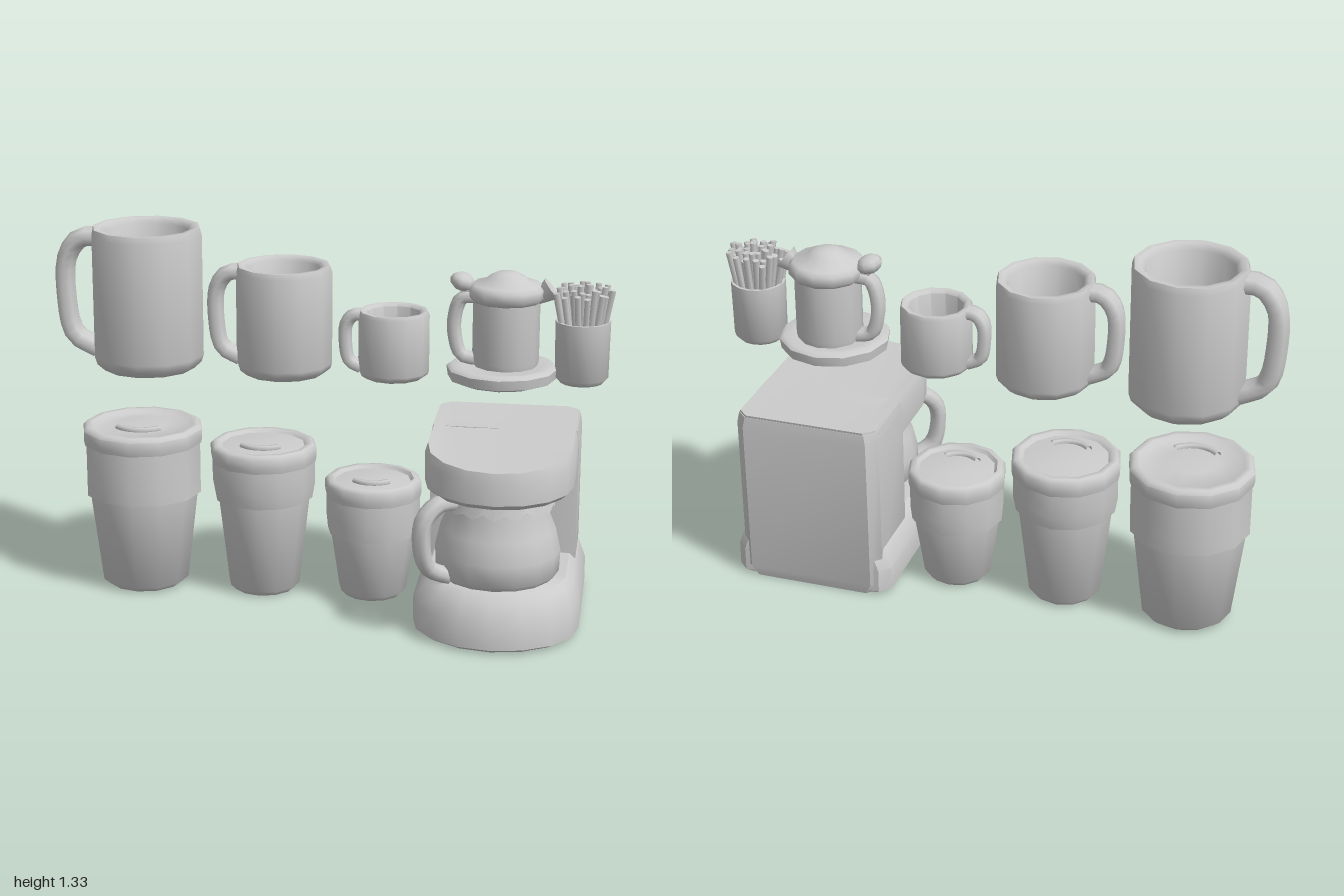
import * as THREE from 'three';
import { toCreasedNormals } from 'three/addons/utils/BufferGeometryUtils.js';

const material = new THREE.MeshStandardMaterial({ color: 0xcccccc, side: THREE.DoubleSide });

function add(parent, name, geometry, x = 0, y = 0, z = 0) {
  const mesh = new THREE.Mesh(geometry, material);
  mesh.name = name;
  mesh.position.set(x, y, z);
  parent.add(mesh);
  return mesh;
}

function group(parent, name, x = 0, y = 0, z = 0) {
  const g = new THREE.Group();
  g.name = name;
  g.position.set(x, y, z);
  parent.add(g);
  return g;
}

// Turned part from [radius, height] pairs, bottom to top
function turned(profile, sides = 12, crease = 0.9) {
  const points = profile.map(([r, y]) => new THREE.Vector2(r, y));
  return toCreasedNormals(new THREE.LatheGeometry(points, sides), crease);
}

// Curved grip in the xy plane, widened along z
function grip(points, radius, widen) {
  const curve = new THREE.CatmullRomCurve3(points.map(([x, y]) => new THREE.Vector3(x, y, 0)));
  return new THREE.TubeGeometry(curve, 14, radius, 8).scale(1, 1, widen);
}

// Stacked plan outlines: straight back with cut corners, rounded front
function loft(layers, slope = 0) {
  const pos = [], index = [];
  let n = 0;
  for (const { y, w, back, side, front } of layers) {
    const ring = [[-w + 0.035, back], [-w, back + 0.035]];
    for (let i = 0; i <= 8; i++) {
      const a = Math.PI * i / 8;
      ring.push([-w * Math.cos(a), side + (front - side) * Math.sin(a)]);
    }
    ring.push([w, back + 0.035], [w - 0.035, back]);
    n = ring.length;
    for (const [x, z] of ring) pos.push(x, y - slope * Math.max(0, z) * (y > 0.6 ? 1 : 0), z);
  }
  for (let j = 0; j < layers.length - 1; j++) {
    for (let i = 0; i < n; i++) {
      const k = (i + 1) % n, a = j * n + i, b = j * n + k;
      index.push(a, b, b + n, a, b + n, a + n);
    }
  }
  const top = (layers.length - 1) * n;
  for (let i = 1; i < n - 1; i++) index.push(0, i + 1, i, top, top + i, top + i + 1);
  const g = new THREE.BufferGeometry();
  g.setAttribute('position', new THREE.Float32BufferAttribute(pos, 3));
  g.setIndex(index);
  return toCreasedNormals(g, 0.75);
}

// Open mug with its handle on the model's right
function mug(parent, name, x, r, h, reach, thick) {
  const g = group(parent, name, x, 0.83, -0.13);
  const inner = r * 0.76;
  add(g, 'mugBody', turned([
    [0, 0], [r * 0.82, 0], [r * 0.96, h * 0.05], [r, h * 0.1], [r, h * 0.95], [r * 0.96, h],
    [r * 0.85, h], [inner, h * 0.96], [inner, h * 0.12], [0, h * 0.09]]));
  const at = (u, v) => [-r * 0.9 - (reach - thick - r * 0.9) * u, h * v];
  add(g, 'mugHandle', grip([at(0, 0.92), at(0.5, 0.91), at(0.93, 0.78), at(1, 0.5),
    at(0.75, 0.22), at(0, 0.12)], thick, 1.5));
}

// Tapered takeaway cup: sleeve starts at `step`, lid at `lid`
function paperCup(parent, name, x, bottom, waist, sleeve, rim, step, lid) {
  const g = group(parent, name, x, 0, -0.14);
  add(g, 'cupBody', turned([
    [0, 0.01], [bottom * 0.85, 0.01], [bottom, 0.03], [waist, step], [waist * 1.06, step],
    [sleeve, step + 0.055], [sleeve, lid - 0.005], [0, lid - 0.005]]));
  add(g, 'cupLid', turned([
    [sleeve * 0.95, lid - 0.012], [rim * 0.98, lid - 0.01], [rim, lid + 0.01], [rim, lid + 0.042],
    [rim * 0.94, lid + 0.055], [rim * 0.84, lid + 0.056], [rim * 0.78, lid + 0.044],
    [rim * 0.4, lid + 0.053], [0, lid + 0.056]]));
  // Raised sip ridge on the lid
  const ridge = new THREE.TorusGeometry(rim * 0.45, 0.012, 6, 10, Math.PI * 0.55);
  ridge.rotateZ(Math.PI * 0.225).rotateX(Math.PI / 2);
  add(g, 'sipRidge', ridge, 0, lid + 0.055, 0);
}

function coffeeMaker(parent) {
  const g = group(parent, 'coffeeMaker', 0.615, 0, 0);
  const layer = (y, w, back, side, front) => ({ y, w, back, side, front });
  add(g, 'machineBase', loft([
    layer(0.012, 0.27, -0.37, 0.13, 0.38), layer(0.025, 0.29, -0.385, 0.14, 0.4),
    layer(0.11, 0.29, -0.385, 0.14, 0.4), layer(0.18, 0.265, -0.38, 0.12, 0.355),
    layer(0.205, 0.24, -0.36, 0.12, 0.32)]));
  add(g, 'machineColumn', loft([
    layer(0.01, 0.24, -0.385, -0.12, -0.11), layer(0.05, 0.262, -0.395, -0.12, -0.11),
    layer(0.62, 0.262, -0.4, -0.12, -0.11), layer(0.66, 0.255, -0.395, -0.12, -0.11)]));
  add(g, 'machineHead', loft([
    layer(0.508, 0.235, -0.3, 0.1, 0.335), layer(0.528, 0.258, -0.32, 0.1, 0.36),
    layer(0.635, 0.26, -0.39, 0.1, 0.36), layer(0.668, 0.25, -0.395, 0.09, 0.35)], 0.08));

  // Glass pot with a zigzag collar, handle turned towards the front
  const pot = group(g, 'carafe', 0, 0, 0.115);
  add(pot, 'carafeBody', turned([
    [0, 0.2], [0.19, 0.2], [0.215, 0.225], [0.218, 0.3], [0.2, 0.38],
    [0.17, 0.455], [0.17, 0.5], [0, 0.5]], 16));
  const collar = new THREE.CylinderGeometry(0.185, 0.195, 0.045, 32, 1, true);
  const p = collar.attributes.position;
  for (let i = 0; i < p.count; i++) {
    if (p.getY(i) < 0) p.setY(i, i % 2 ? -0.028 : 0.002 - 0.008 * (i % 3));
  }
  collar.computeVertexNormals();
  add(pot, 'carafeCollar', collar, 0, 0.483, 0);
  add(pot, 'carafeRim', new THREE.CylinderGeometry(0.19, 0.187, 0.012, 16), 0, 0.506, 0);
  const handle = add(pot, 'carafeHandle', grip([[-0.18, 0.49], [-0.24, 0.49], [-0.295, 0.44],
    [-0.305, 0.36], [-0.28, 0.27], [-0.2, 0.225]], 0.03, 1.3));
  handle.rotation.y = 0.62;
}

function pitcher(parent) {
  const g = group(parent, 'pitcherOnSaucer', 0.61, 0, -0.13);
  add(g, 'saucer', turned([
    [0, 0.835], [0.15, 0.835], [0.19, 0.85], [0.195, 0.885], [0.18, 0.897], [0.14, 0.89], [0, 0.89]]),
  -0.01, 0, 0.02);
  add(g, 'pitcherBody', turned([[0, 0.87], [0.11, 0.88], [0.117, 0.91], [0.117, 1.14], [0, 1.14]]));
  add(g, 'pitcherLid', turned([
    [0, 1.12], [0.12, 1.12], [0.135, 1.135], [0.135, 1.165], [0.12, 1.18], [0.085, 1.185],
    [0.065, 1.205], [0.035, 1.22], [0, 1.224]]));
  add(g, 'pitcherHandle', grip([[-0.1, 1.13], [-0.155, 1.125], [-0.18, 1.06], [-0.178, 0.98],
    [-0.155, 0.92], [-0.1, 0.905]], 0.025, 1.4));
  const thumb = new THREE.SphereGeometry(1, 8, 6).scale(0.045, 0.032, 0.052);
  add(g, 'thumbPiece', thumb, -0.155, 1.182, 0).rotation.z = -0.3;
  add(g, 'thumbLink', new THREE.BoxGeometry(0.08, 0.03, 0.04), -0.12, 1.16, 0);
  // Pouring lip opposite the handle
  const spout = new THREE.CylinderGeometry(0.045, 0.012, 0.09, 6);
  add(g, 'spout', spout, 0.12, 1.14, 0).rotation.z = -0.9;
}

function stirrerCup(parent) {
  const g = group(parent, 'stirrerCup', 0.877, 0, -0.12);
  add(g, 'stirrerHolder', turned([
    [0, 0.84], [0.075, 0.84], [0.093, 0.86], [0.096, 1.06], [0.086, 1.06], [0.084, 0.87], [0, 0.865]], 16));
  const geometry = new THREE.CylinderGeometry(0.0115, 0.0115, 1, 6);
  const up = new THREE.Vector3(0, 1, 0);
  for (let i = 0; i < 44; i++) {
    const a = i * 2.39996, s = Math.sqrt((i + 0.5) / 44);
    const foot = new THREE.Vector3(Math.cos(a) * s * 0.06, 0.95, Math.sin(a) * s * 0.06);
    const tip = new THREE.Vector3(Math.cos(a) * s * 0.105, 1.2 - 0.025 * s - 0.012 * (i % 3),
      Math.sin(a) * s * 0.098);
    const stick = add(g, 'stirrer', geometry);
    stick.position.copy(foot).lerp(tip, 0.5);
    stick.scale.y = foot.distanceTo(tip);
    stick.quaternion.setFromUnitVectors(up, tip.sub(foot).normalize());
  }
}

export function createModel() {
  const model = new THREE.Group();
  model.name = 'coffeeSet';
  mug(model, 'largeMug', -0.667, 0.2, 0.51, 0.333, 0.036);
  mug(model, 'mediumMug', -0.175, 0.172, 0.39, 0.275, 0.03);
  mug(model, 'smallMug', 0.216, 0.126, 0.24, 0.196, 0.024);
  pitcher(model);
  stirrerCup(model);
  paperCup(model, 'largePaperCup', -0.7, 0.16, 0.2, 0.212, 0.22, 0.36, 0.558);
  paperCup(model, 'mediumPaperCup', -0.255, 0.13, 0.168, 0.188, 0.194, 0.36, 0.507);
  paperCup(model, 'smallPaperCup', 0.145, 0.122, 0.155, 0.17, 0.175, 0.25, 0.393);
  coffeeMaker(model);
  return model;
}
